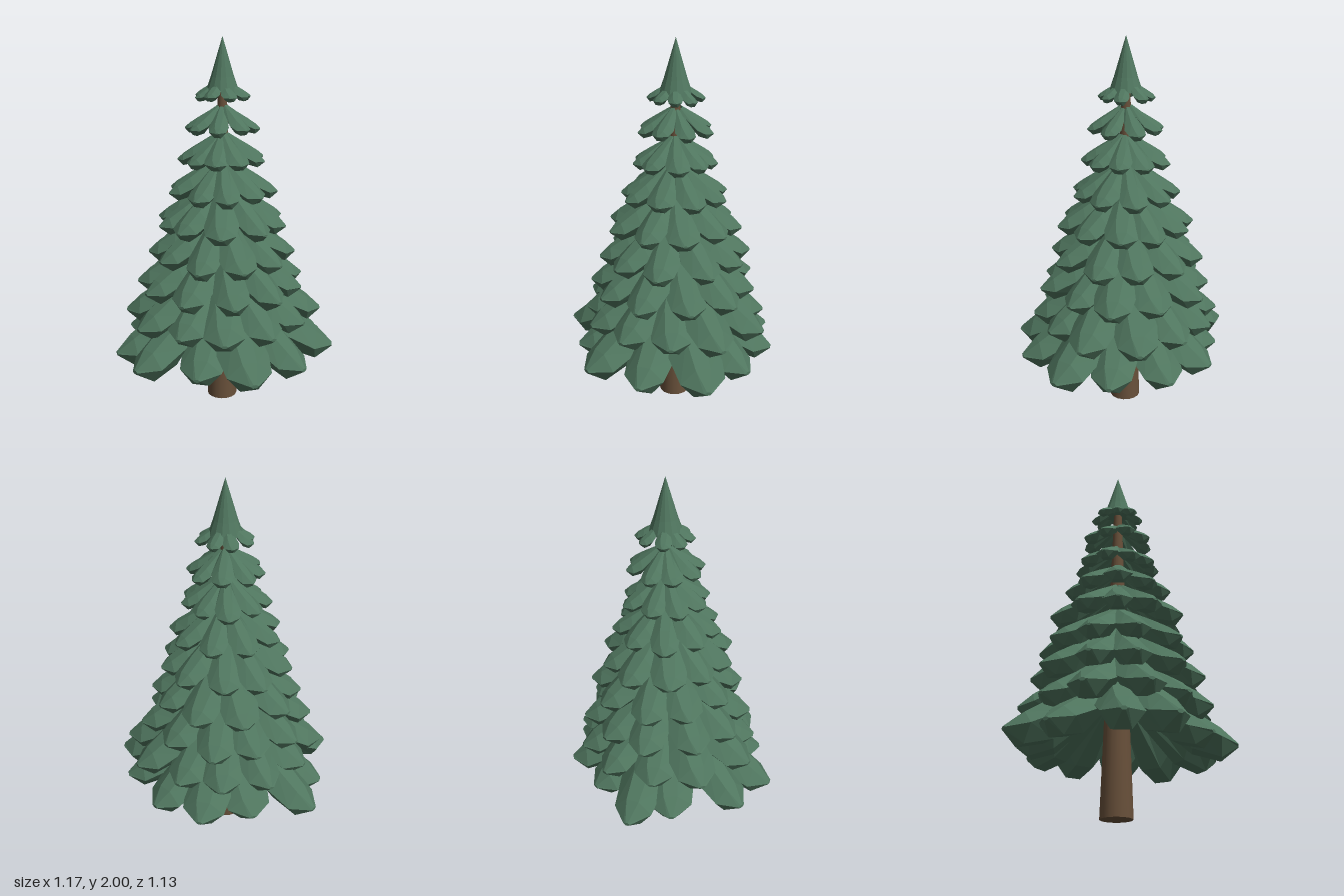
import * as THREE from 'three';

const AXIS_X = 0.025, AXIS_Z = -0.045;

// Small seeded generator returning values in -1..1
function seeded(seed) {
  let s = seed;
  return () => {
    s = (s * 16807) % 2147483647;
    return (s / 2147483647) * 2 - 1;
  };
}

// One drooping bough: six-sided cross-sections running outwards along +z
function boughGeometry(reach, tipY, halfWidth) {
  const root = 0.03;
  const rootY = tipY + 0.7 * (reach - 0.04);
  // [position along bough, width, lift of ridge, depth below ridge], last two relative to reach
  const stations = [
    [0, 0.42, 0, 0.22],
    [0.6, 1, 0.022, 0.34],
    [0.85, 0.84, 0.025, 0.25],
    [1, 0.15, 0, 0.03],
  ];
  const rings = stations.map(([t, w, lift, drop]) => {
    const z = root + t * (reach - root);
    const top = rootY + t * (tipY - rootY) + lift * reach;
    const depth = drop * reach;
    const x = w * halfWidth;
    return [
      [-0.4 * x, top - depth, z], [0.4 * x, top - depth, z],
      [x, top - 0.45 * depth, z],
      [0.33 * x, top, z], [-0.33 * x, top, z],
      [-x, top - 0.45 * depth, z],
    ];
  });
  const positions = [];
  const tri = (a, b, c) => positions.push(...a, ...b, ...c);
  for (let k = 0; k < rings.length - 1; k++) {
    for (let i = 0; i < 6; i++) {
      const j = (i + 1) % 6, a = rings[k], b = rings[k + 1];
      tri(a[i], a[j], b[j]);
      tri(a[i], b[j], b[i]);
    }
  }
  const first = rings[0], last = rings[rings.length - 1];
  for (let i = 1; i < 5; i++) {
    tri(last[0], last[i], last[i + 1]);
    tri(first[0], first[i + 1], first[i]);
  }
  const geometry = new THREE.BufferGeometry();
  geometry.setAttribute('position', new THREE.Float32BufferAttribute(positions, 3));
  geometry.computeVertexNormals();
  return geometry;
}

export function createModel() {
  const needles = new THREE.MeshStandardMaterial({ color: 0x4f755e, flatShading: true });
  needles.name = 'needleGreen';
  const bark = new THREE.MeshStandardMaterial({ color: 0x68503a });
  bark.name = 'barkBrown';

  const model = new THREE.Group();
  model.name = 'pineTree';
  const tree = new THREE.Group();
  tree.name = 'tree';
  tree.position.set(AXIS_X, 0, AXIS_Z);
  model.add(tree);

  // Tapered trunk running up the whole tree
  const trunk = new THREE.Mesh(new THREE.CylinderGeometry(0.022, 0.083, 1.75, 16), bark);
  trunk.name = 'trunk';
  trunk.position.y = 0.875;
  tree.add(trunk);

  // Two lowest tiers, irregular: [direction in degrees from +x towards +z, reach]
  const irregular = [
    [
      [176, 0.61], [153, 0.63], [122, 0.54], [93, 0.605], [62, 0.585], [28, 0.615],
      [1, 0.56], [-32, 0.545], [-61, 0.545], [-92, 0.5], [-124, 0.62], [-146, 0.55],
    ],
    [
      [17, 0.545], [46, 0.49], [77, 0.5], [107, 0.5], [135, 0.49], [162, 0.54],
      [-164, 0.53], [-134, 0.49], [-103, 0.505], [-73, 0.49], [-45, 0.49], [-15, 0.54],
    ],
  ];

  // Tiers: [tip height, reach, bough count, half width]
  const tiers = [
    [0.365, 0.6, 12, 0.132],
    [0.535, 0.515, 12, 0.116],
    [0.705, 0.45, 11, 0.108],
    [0.87, 0.405, 10, 0.1],
    [1.04, 0.358, 10, 0.09],
    [1.21, 0.288, 9, 0.078],
    [1.38, 0.228, 9, 0.065],
    [1.545, 0.198, 8, 0.054],
    [1.705, 0.146, 8, 0.04],
  ];
  const rand = seeded(4271);
  tiers.forEach(([tipY, reach, count, halfWidth], level) => {
    const tier = new THREE.Group();
    tier.name = `boughTier${level + 1}`;
    for (let i = 0; i < count; i++) {
      const step = 360 / count;
      const [degrees, length] = level < 2
        ? irregular[level][i]
        : [(i + (level % 2) * 0.5) * step + rand() * 4, reach * (1 + 0.035 * rand())];
      const width = halfWidth * (1 + 0.08 * rand());
      const bough = new THREE.Mesh(boughGeometry(length, tipY + 0.006 * rand(), width), needles);
      bough.name = 'bough';
      bough.rotation.y = Math.PI / 2 - THREE.MathUtils.degToRad(degrees);
      tier.add(bough);
    }
    tree.add(tier);
  });

  // Pointed crown with a slightly flared, closed skirt
  const profile = [[0, 1.73], [0.085, 1.73], [0.06, 1.8], [0.03, 1.9], [0, 2]]
    .map(([r, y]) => new THREE.Vector2(r, y));
  const crown = new THREE.Mesh(new THREE.LatheGeometry(profile, 14), needles);
  crown.name = 'crown';
  tree.add(crown);

  return model;
}
